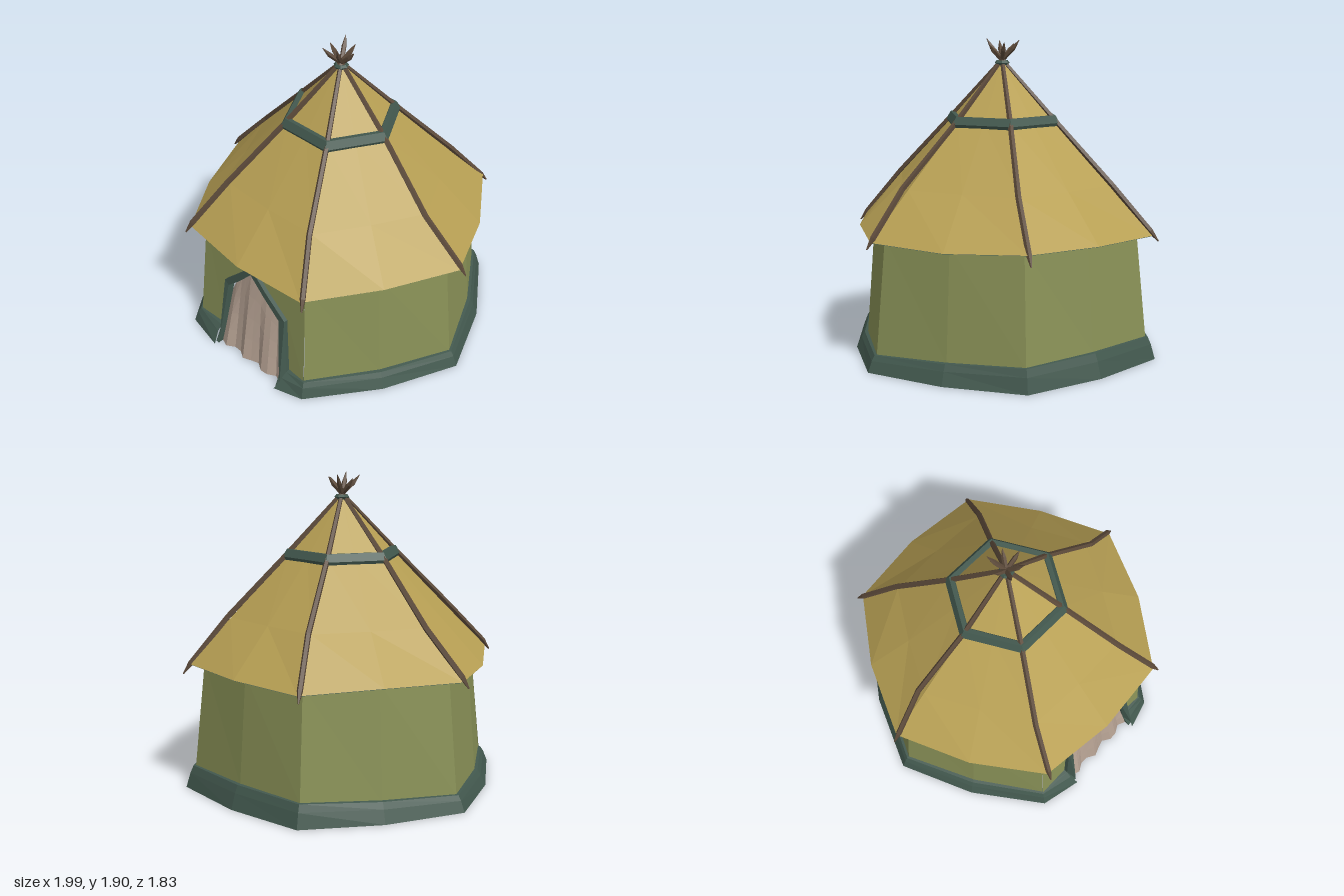
import * as THREE from 'three';

const mat = (name, color) => {
  const m = new THREE.MeshStandardMaterial({ color, flatShading: true, side: THREE.DoubleSide });
  m.name = name;
  return m;
};

// Point on a circle: angle step k of 12, front is k = 3
const polar = (r, k, y) => {
  const a = (k * Math.PI) / 6;
  return new THREE.Vector3(r * Math.cos(a), y, r * Math.sin(a));
};

// Surface joining equal-length rows of points, flat faceted
function loft(rows, closed) {
  const pos = [];
  const n = rows[0].length;
  for (let i = 0; i < rows.length - 1; i++) {
    for (let j = 0; j < (closed ? n : n - 1); j++) {
      const k = (j + 1) % n;
      const a = rows[i][j], b = rows[i][k], c = rows[i + 1][k], d = rows[i + 1][j];
      for (const p of [a, d, b, b, d, c]) pos.push(p.x, p.y, p.z);
    }
  }
  const g = new THREE.BufferGeometry();
  g.setAttribute('position', new THREE.Float32BufferAttribute(pos, 3));
  g.computeVertexNormals();
  return g;
}

// Depth of the leaning front wall, flaring at the ground
const frontZ = (y) => (y < 0.1 ? 0.805 + (0.1 - y) * 0.6 : 0.805 - (y - 0.1) * 0.09);

function lean(geometry) {
  const p = geometry.attributes.position;
  for (let i = 0; i < p.count; i++) p.setZ(i, p.getZ(i) + frontZ(p.getY(i)));
  geometry.computeVertexNormals();
  return geometry;
}

export function createModel() {
  const thatch = mat('straw thatch', 0xb8a054);
  const cloth = mat('olive wall', 0x899157);
  const trim = mat('dark green trim', 0x42584e);
  const curtainMat = mat('pale pink cloth', 0xb5a192);
  const wood = mat('brown wood', 0x5c4a3a);

  const model = new THREE.Group();
  const add = (name, geometry, material) => {
    const mesh = new THREE.Mesh(geometry, material);
    mesh.name = name;
    model.add(mesh);
    return mesh;
  };

  // Radius alternates between hexagon corners and side middles
  const alt = (k, corner, middle) => (k % 2 ? middle : corner);
  const around = Array.from({ length: 11 }, (_, i) => i + 4);
  const full = Array.from({ length: 12 }, (_, i) => i);
  const trimTop = (k) => 0.1 + 0.045 * Math.max(0, -Math.sin((k * Math.PI) / 6));

  // Side and back walls
  add('walls', loft([
    around.map((k) => polar(alt(k, 0.86, 0.79), k, 0.785)),
    around.map((k) => polar(alt(k, 0.93, 0.845), k, trimTop(k) - 0.01)),
  ]), cloth);

  // Front wall with the doorway cut out
  const inner = [[-0.225, 0], [-0.215, 0.1], [-0.195, 0.45], [-0.1, 0.535], [0, 0.64], [0.12, 0.54], [0.25, 0.445], [0.29, 0.1], [0.3, 0]];
  const outer = [[-0.25, 0], [-0.255, 0.1], [-0.228, 0.475], [-0.12, 0.575], [0, 0.69], [0.135, 0.58], [0.3, 0.465], [0.335, 0.1], [0.33, 0]];
  const toV = (pts) => pts.map(([x, y]) => new THREE.Vector2(x, y));
  const panel = new THREE.Shape(toV([
    [-0.465, 0.09], ...outer.slice(1, -1), [0.465, 0.09], [0.43, 0.785], [-0.43, 0.785],
  ]));
  add('frontWall', lean(new THREE.ShapeGeometry(panel)), cloth);

  // Door frame
  const frame = new THREE.Shape(toV([...outer, ...inner.slice().reverse()]));
  const frameGeo = new THREE.ExtrudeGeometry(frame, { depth: 0.045, bevelEnabled: false });
  frameGeo.translate(0, 0, -0.02);
  add('doorFrame', lean(frameGeo), trim);

  // Pleated door curtain
  const archTop = (x) => {
    for (let i = 1; i < inner.length - 2; i++) {
      const [x0, y0] = inner[i], [x1, y1] = inner[i + 1];
      if (x <= x1) return y0 + ((y1 - y0) * Math.max(0, x - x0)) / (x1 - x0);
    }
    return 0.445;
  };
  const curtainRows = [];
  for (let j = 0; j <= 4; j++) {
    const t = j / 4;
    const row = [];
    for (let i = 0; i <= 10; i++) {
      const u = i / 10;
      const top = -0.198 + 0.452 * u, low = -0.225 + 0.525 * u;
      const y = archTop(top) * (1 - t);
      const wave = Math.sin(i * 1.9) * 0.02 * t;
      row.push(new THREE.Vector3(top + (low - top) * t, y, 0.76 + 0.095 * t + wave));
    }
    curtainRows.push(row);
  }
  add('doorCurtain', loft(curtainRows), curtainMat);

  // Flared base trim, open at the doorway
  const trimRow = (corner, middle, height, z, left, right) => [
    new THREE.Vector3(left, height(3), z),
    ...around.map((k) => polar(alt(k, corner, middle), k, height(k))),
    new THREE.Vector3(right, height(3), z),
  ];
  add('baseTrim', loft([
    trimRow(0.91, 0.83, trimTop, 0.79, -0.245, 0.32),
    trimRow(0.945, 0.865, (k) => trimTop(k) - 0.005, 0.83, -0.255, 0.335),
    trimRow(0.965, 0.885, (k) => trimTop(k) * 0.65, 0.865, -0.255, 0.33),
    trimRow(0.992, 0.915, () => 0, 0.915, -0.235, 0.31),
  ]), trim);

  // Thatched roof, bellied between apex and eave
  const eaveY = (k) => 0.768 + 0.012 * Math.sin(k * 2.1);
  const roofEdge = full.map((k) => polar(alt(k, 0.958, 0.88), k, eaveY(k)));
  add('roof', loft([
    full.map((k) => polar(alt(k, 0.015, 0.013), k, 1.76)),
    full.map((k) => polar(alt(k, 0.335, 0.292), k, 1.415)),
    full.map((k) => polar(alt(k, 0.695, 0.615), k, 1.045)),
    roofEdge,
  ], true), thatch);

  // Dark band under the eave
  add('eaveUnderside', loft([
    full.map((k) => polar(alt(k, 0.955, 0.877), k, eaveY(k) - 0.003)),
    full.map((k) => polar(alt(k, 0.84, 0.76), k, 0.782)),
  ], true), trim);

  // Hexagonal collar
  const collar = [[0.29, 1.42], [0.315, 1.448], [0.345, 1.45], [0.374, 1.405], [0.358, 1.375], [0.32, 1.385], [0.29, 1.42]];
  add('roofCollar', loft(
    collar.map(([r, y]) => [0, 2, 4, 6, 8, 10].map((k) => polar(r, k, y))), true), trim);

  // Roof poles crossing at the apex, with pointed ends
  const tips = [[0.09, 1.87], [0.11, 1.895], [0.085, 1.88], [0.1, 1.87], [0.1, 1.9], [0.11, 1.885]];
  tips.forEach(([tipR, tipY], i) => {
    const k = i * 2;
    const side = polar(1, k + 3, 0);
    const bend = i % 3 === 0 ? 0.035 : 0.01;
    const endY = [0.735, 0.715, 0.75, 0.735, 0.725, 0.72][i];
    const path = [
      [0.992, endY, 0.004, -0.015], [0.945, endY + 0.06, 0.018, -0.01],
      [0.71, 1.05, 0.018, bend], [0.335, 1.427, 0.017, 0], [0.02, 1.755, 0.014, 0],
      [-tipR * 0.65, 1.77 + (tipY - 1.77) * 0.6, 0.015, 0], [-tipR, tipY, 0.002, 0],
    ];
    const pts = path.map(([r, y, , s]) => polar(r, k, y).addScaledVector(side, s));
    const rings = pts.map((p, j) => {
      const dir = pts[Math.min(j + 1, pts.length - 1)].clone().sub(pts[Math.max(j - 1, 0)]).normalize();
      const up = side.clone().cross(dir).normalize();
      return [0, 1, 2, 3, 4].map((q) => {
        const a = (q * Math.PI * 2) / 5;
        return p.clone().addScaledVector(side, Math.cos(a) * path[j][2]).addScaledVector(up, Math.sin(a) * path[j][2]);
      });
    });
    add('roofPole' + (i + 1), loft(rings, true), wood);
  });

  // Binding at the apex
  const knot = add('apexBinding', new THREE.TorusGeometry(0.031, 0.015, 5, 7), trim);
  knot.rotation.x = Math.PI / 2;
  knot.position.y = 1.757;

  return model;
}
